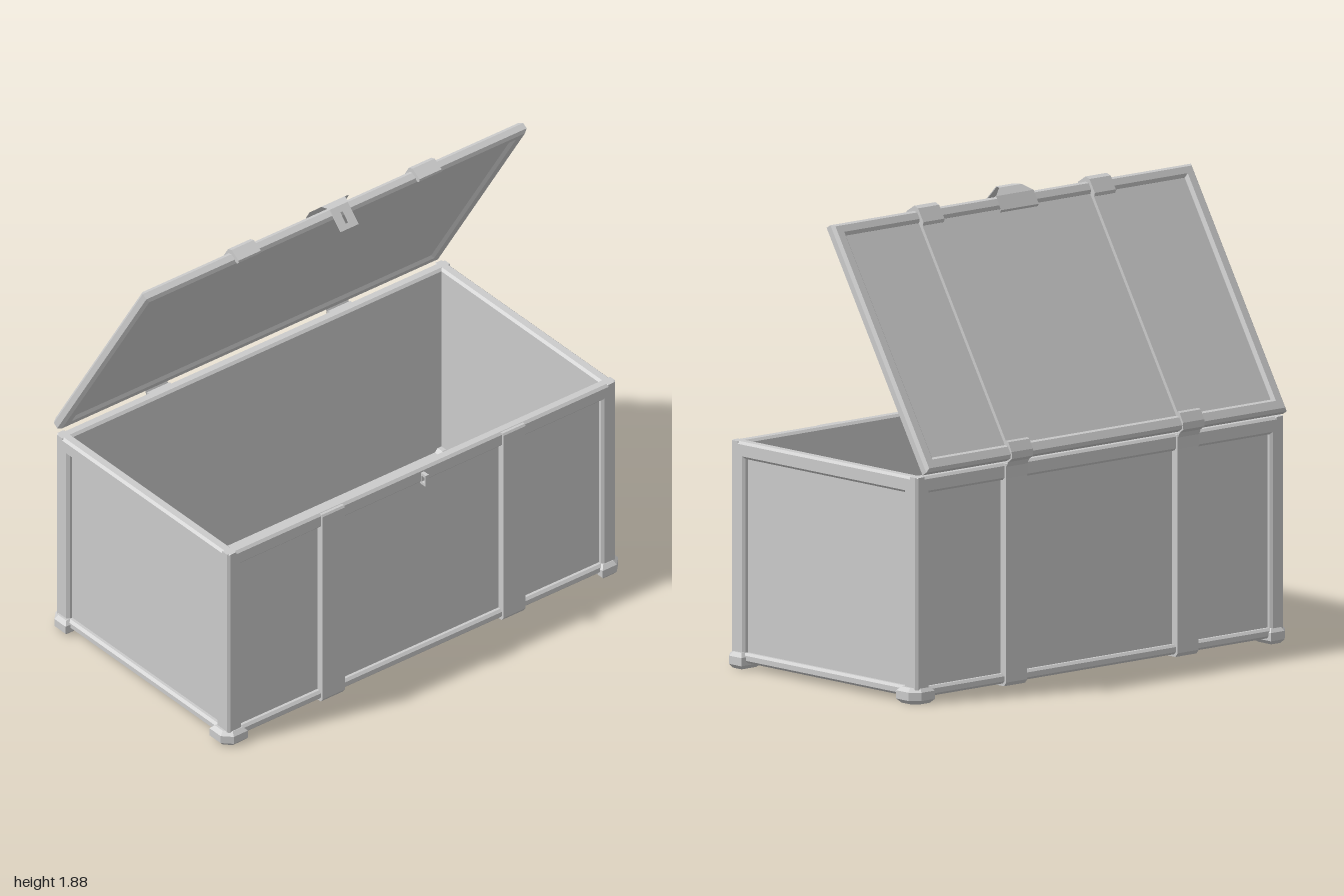
import * as THREE from 'three';

const grey = new THREE.MeshStandardMaterial({ color: 0xcccccc, flatShading: true });
const thin = new THREE.MeshStandardMaterial({ color: 0xcccccc, flatShading: true, side: THREE.DoubleSide });

const TOP = 0.907, BASE = 0.025;      // body height range
const FRONT = 0.55, BACK = -0.54;     // body depth range
const HALF = 0.976, RAIL = 0.05;      // body half width, rail thickness
const MID = (FRONT + BACK) / 2;
const STRAP_X = 0.455, STRAP_W = 0.112;

function add(parent, name, geometry, material = grey) {
  const mesh = new THREE.Mesh(geometry, material);
  mesh.name = name;
  parent.add(mesh);
  return mesh;
}

// Box given by its minimum and maximum corners
function box(parent, name, a, b) {
  const mesh = add(parent, name, new THREE.BoxGeometry(b[0] - a[0], b[1] - a[1], b[2] - a[2]));
  mesh.position.set((a[0] + b[0]) / 2, (a[1] + b[1]) / 2, (a[2] + b[2]) / 2);
  return mesh;
}

function rect(Type, x0, y0, x1, y1) {
  const p = new Type();
  p.moveTo(x0, y0);
  p.lineTo(x1, y0);
  p.lineTo(x1, y1);
  p.lineTo(x0, y1);
  p.closePath();
  return p;
}

// Chamfered rectangular frame, centred on z = 0; o = outer, h = hole [x0, y0, x1, y1]
function frame(o, h, depth, bevel) {
  const shape = rect(THREE.Shape, o[0] + bevel, o[1] + bevel, o[2] - bevel, o[3] - bevel);
  shape.holes.push(rect(THREE.Path, h[0] - bevel, h[1] - bevel, h[2] + bevel, h[3] + bevel));
  const d = depth - 2 * bevel;
  const g = new THREE.ExtrudeGeometry(shape, {
    depth: d, bevelSize: bevel, bevelThickness: bevel, bevelSegments: 1,
  });
  return g.translate(0, 0, -d / 2);
}

// Side profile of [z, y] points extruded along x about x = 0
function profile(points, width) {
  const shape = new THREE.Shape(points.map(p => new THREE.Vector2(p[0], p[1])));
  return new THREE.ExtrudeGeometry(shape, { depth: width, bevelEnabled: false })
    .translate(0, 0, -width / 2).rotateY(-Math.PI / 2);
}

// Thin bent plate through [z, y, halfWidth] sections
function ribbon(sections) {
  const pos = [], idx = [];
  sections.forEach(([z, y, w], i) => {
    pos.push(-w, y, z, w, y, z);
    if (i) idx.push(2 * i - 2, 2 * i - 1, 2 * i, 2 * i - 1, 2 * i + 1, 2 * i);
  });
  const g = new THREE.BufferGeometry();
  g.setAttribute('position', new THREE.Float32BufferAttribute(pos, 3));
  g.setIndex(idx);
  g.computeVertexNormals();
  return g;
}

function makeBody() {
  const body = new THREE.Group();
  body.name = 'body';

  // Front and back: chamfered frame with a recessed panel
  for (const [name, z, s] of [['front', FRONT, 1], ['back', BACK, -1]]) {
    add(body, name + 'Frame', frame([-HALF, BASE, HALF, TOP], [-0.905, 0.065, 0.905, 0.84], RAIL, 0.01))
      .position.z = z - s * RAIL / 2;
    const a = z - s * RAIL, b = z - s * 0.022;
    box(body, name + 'Panel', [-0.93, 0.04, Math.min(a, b)], [0.93, 0.88, Math.max(a, b)]);
  }

  // Left and right ends
  for (const s of [1, -1]) {
    const name = s > 0 ? 'left' : 'right';
    const half = (FRONT - BACK) / 2;
    const g = frame([-half, BASE, half, TOP], [-half + 0.078, 0.065, half - 0.078, 0.84], RAIL, 0.01);
    add(body, name + 'Frame', g.rotateY(Math.PI / 2)).position.set(s * (HALF - RAIL / 2), 0, MID);
    const a = s * (HALF - RAIL), b = s * (HALF - 0.022);
    box(body, name + 'Panel', [Math.min(a, b), 0.04, BACK + 0.045], [Math.max(a, b), 0.88, FRONT - 0.045]);
  }
  box(body, 'floor', [-HALF + 0.01, BASE, BACK + 0.01], [HALF - 0.01, 0.05, FRONT - 0.01]);

  // Straps running down the front, under the floor and up the back
  const t = 0.01, c = 0.006;
  const strapLine = [
    [FRONT - 0.03, TOP - 0.002], [FRONT + t - c, TOP - 0.002], [FRONT + t, TOP - 0.01],
    [FRONT + t, BASE + c], [FRONT + t - c - 0.006, BASE - t],
    [BACK - t + c + 0.006, BASE - t], [BACK - t, BASE + c],
    [BACK - t, TOP - 0.01], [BACK - t + c, TOP - 0.002], [BACK + 0.03, TOP - 0.002],
    [BACK + 0.03, BASE + 0.01], [FRONT - 0.03, BASE + 0.01],
  ];
  for (const s of [1, -1]) {
    add(body, 'bodyStrap', profile(strapLine, STRAP_W)).position.x = s * STRAP_X;
  }

  // Chamfered corner caps that serve as feet
  for (const sx of [1, -1]) for (const sz of [1, -1]) {
    const shape = new THREE.Shape([[0, 0], [0.078, 0], [0.078, 0.05], [0.05, 0.078], [0, 0.078]]
      .map(p => new THREE.Vector2(p[0] + 0.004, p[1] + 0.004)));
    const g = new THREE.ExtrudeGeometry(shape, {
      depth: 0.033, bevelSize: 0.015, bevelThickness: 0.016, bevelSegments: 1,
    });
    // Turn the outline so its clipped corner points outward
    const turn = Math.atan2(sz, sx) - Math.PI / 4;
    g.translate(-0.0435, -0.0435, 0.016).rotateZ(turn).rotateX(Math.PI / 2).translate(0, 0.065, 0);
    add(body, 'cornerFoot', g).position.set(sx * 0.9465, 0, sz > 0 ? FRONT - 0.036 : BACK + 0.04);
  }

  // Staple that receives the hasp
  const loop = rect(THREE.Shape, FRONT - 0.005, 0.838, 0.58, 0.89);
  loop.holes.push(rect(THREE.Path, FRONT + 0.004, 0.85, 0.572, 0.878));
  add(body, 'staple', new THREE.ExtrudeGeometry(loop, { depth: 0.016, bevelEnabled: false })
    .translate(0, 0, -0.008).rotateY(-Math.PI / 2));
  return body;
}

// Lid built closed, hinge edge at z = 0, underside at y = 0
function makeLid() {
  const lid = new THREE.Group();
  lid.name = 'lid';
  const L = 1.07, T = 0.05, W = 0.957;
  add(lid, 'lidFrame', frame([-W, 0, W, L], [-0.9, 0.058, 0.9, L - 0.052], T, 0.012).rotateX(Math.PI / 2))
    .position.y = T / 2;
  box(lid, 'lidPanel', [-0.92, 0.012, 0.04], [0.92, 0.036, L - 0.04]);

  // Straps with raised clips over the front and hinge rails
  const clip = [[1.0, 0.04], [1.0, 0.054], [1.01, 0.063], [1.07, 0.063], [1.088, 0.048],
    [1.088, -0.004], [1.08, -0.01], [1.066, -0.006], [1.06, 0.04]];
  const knuckle = [[0.07, 0.04], [0.07, 0.054], [0.06, 0.061], [0.018, 0.059], [-0.006, 0.045],
    [-0.008, 0.02], [0.01, 0.01], [0.02, 0.04]];
  for (const s of [1, -1]) {
    const x = s * STRAP_X;
    box(lid, 'lidStrap', [x - STRAP_W / 2, 0.03, 0.04], [x + STRAP_W / 2, 0.051, 1.03]);
    add(lid, 'strapClip', profile(clip, STRAP_W)).position.x = x;
    add(lid, 'hingeKnuckle', profile(knuckle, STRAP_W)).position.x = x;
  }

  // Clasp plate bending over the front edge
  add(lid, 'claspPlate', ribbon([
    [1.0, 0.05, 0.1], [1.005, 0.062, 0.1], [1.065, 0.064, 0.1], [1.1, 0.055, 0.06], [1.117, 0.025, 0.045],
  ]), thin);

  // Slotted hasp hanging from the clasp plate
  const hasp = rect(THREE.Shape, -0.045, -0.098, 0.045, 0);
  hasp.holes.push(rect(THREE.Path, -0.007, -0.075, 0.007, -0.025));
  const plate = add(lid, 'hasp', new THREE.ExtrudeGeometry(hasp, { depth: 0.004, bevelEnabled: false }));
  plate.position.set(0, 0.025, 1.113);
  plate.rotation.x = 0.24;
  return lid;
}

export function createModel() {
  const chest = new THREE.Group();
  chest.name = 'chest';
  chest.add(makeBody());

  const lid = makeLid();
  lid.position.set(0, 0.912, -0.542);
  lid.rotation.x = -THREE.MathUtils.degToRad(58.4);
  chest.add(lid);

  // Hinge leaves joining the body straps to the lid
  for (const s of [1, -1]) {
    const w = STRAP_W / 2;
    add(chest, 'hingeLeaf', ribbon([
      [-0.552, 0.85, w], [-0.553, 0.895, w], [-0.562, 0.915, w], [-0.578, 0.934, w],
    ]), thin).position.x = s * STRAP_X;
  }
  return chest;
}
